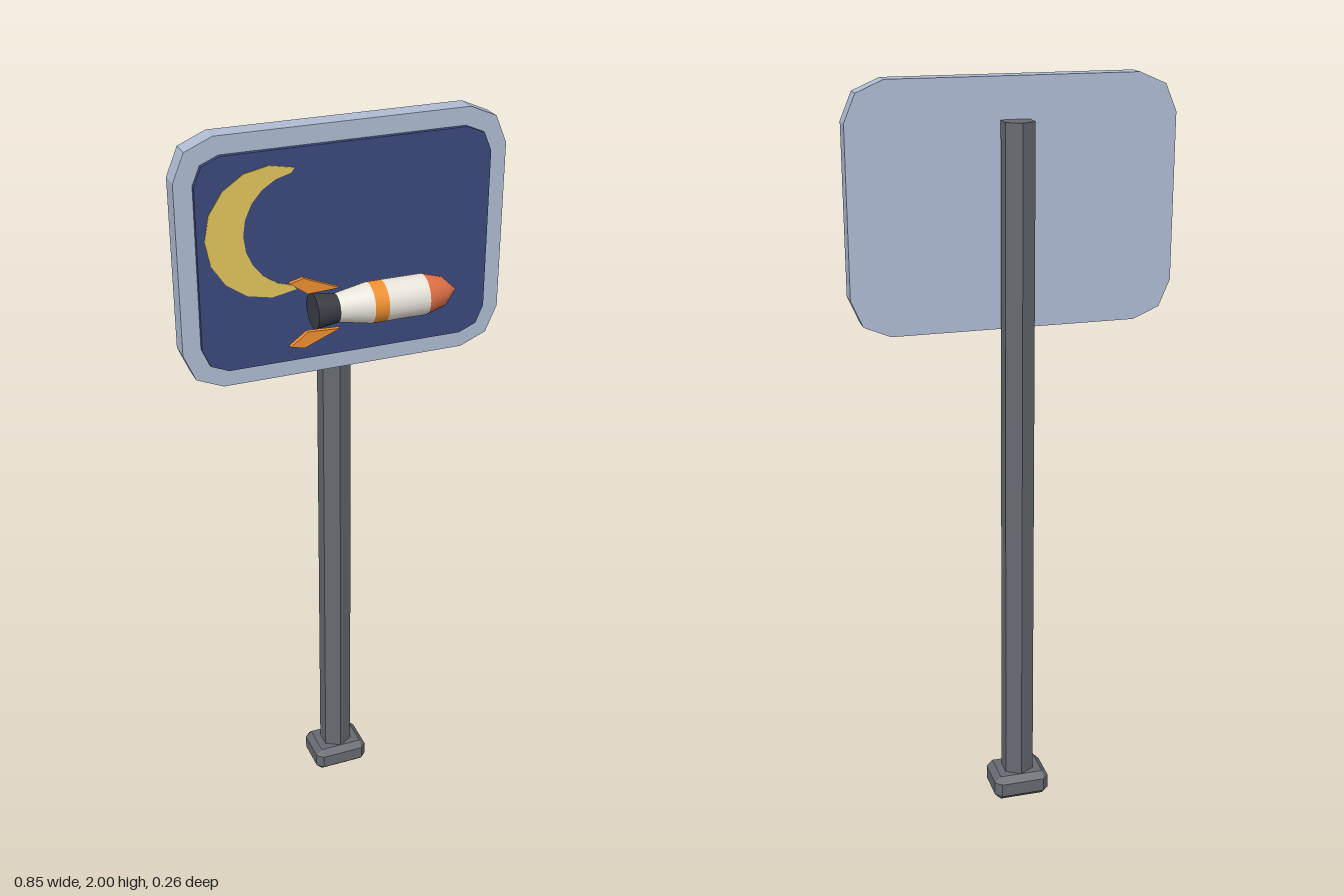
import * as THREE from 'three';
import { ConvexGeometry } from 'three/addons/geometries/ConvexGeometry.js';

const paint = (color, flatShading = true) => new THREE.MeshStandardMaterial({ color, flatShading });
const slate = paint(0x666a70);
const gold = paint(0xe3c75b);
const orange = paint(0xf09030);

function add(parent, name, geometry, material) {
  const mesh = new THREE.Mesh(geometry, material);
  mesh.name = name;
  parent.add(mesh);
  return mesh;
}

// Extrudes a shape from z0 to z1
function slab(shape, z0, z1) {
  const geometry = new THREE.ExtrudeGeometry(shape, { depth: z1 - z0, bevelEnabled: false });
  return geometry.translate(0, 0, z0);
}

const polygon = (points) => new THREE.Shape(points.map(([x, y]) => new THREE.Vector2(x, y)));

// Rectangle whose corners are cut by two facets each
function facetedPlate(w, h, r, cy) {
  const k = r * 0.3;
  const corner = [[w, h - r], [w - k, h - k], [w - r, h]];
  const flip = (sx, sy) => corner.map(([x, y]) => [x * sx, cy + y * sy]);
  return polygon([
    ...flip(1, 1), ...flip(-1, 1).reverse(), ...flip(-1, -1), ...flip(1, -1).reverse(),
  ]);
}

// Box with every edge and corner chamfered
function chamferedBox(w, h, d, c) {
  const points = [];
  for (const x of [-w, w]) for (const y of [-h, h]) for (const z of [-d, d]) {
    const cx = Math.sign(x) * c, cy = Math.sign(y) * c, cz = Math.sign(z) * c;
    points.push(
      new THREE.Vector3(x, y - cy, z - cz),
      new THREE.Vector3(x - cx, y, z - cz),
      new THREE.Vector3(x - cx, y - cy, z),
    );
  }
  return new ConvexGeometry(points);
}

// Crescent between a large arc and a shifted smaller arc
function crescent() {
  const points = [];
  const n = 10;
  for (let i = 0; i <= n; i++) {
    const a = THREE.MathUtils.degToRad(68 + (224 * i) / n);
    points.push([-0.195 + 0.165 * Math.cos(a), 1.755 + 0.165 * Math.sin(a)]);
  }
  for (let i = 0; i <= n; i++) {
    const a = THREE.MathUtils.degToRad(262 - (164 * i) / n);
    points.push([-0.122 + 0.143 * Math.cos(a), 1.755 + 0.143 * Math.sin(a)]);
  }
  return polygon(points);
}

// Rocket lying along +x, built from lathed bands
function createRocket() {
  const rocket = new THREE.Group();
  rocket.name = 'rocket';
  const white = paint(0xe8e4da, false);
  const bands = [
    ['nozzleEnd', [[0, -0.11], [0.045, -0.11]], paint(0x3a3d44, false)],
    ['nozzle', [[0.045, -0.11], [0.036, -0.05]], paint(0x3a3d44, false)],
    ['rearBody', [[0.036, -0.05], [0.052, 0.035]], white],
    ['bodyStripe', [[0.052, 0.035], [0.052, 0.072]], paint(0xf09030, false)],
    ['frontBody', [[0.052, 0.072], [0.052, 0.182]], white],
    ['noseCone', [[0.052, 0.182], [0.037, 0.235], [0, 0.272]], paint(0xe8754a, false)],
  ];
  for (const [name, profile, material] of bands) {
    const points = profile.map(([r, x]) => new THREE.Vector2(r, x));
    add(rocket, name, new THREE.LatheGeometry(points, 24).rotateZ(-Math.PI / 2), material);
  }
  // Swept fins above and below the tail
  for (const side of [1, -1]) {
    const fin = polygon([[-0.125, 0.05], [-0.042, 0.054], [-0.135, 0.092], [-0.171, 0.083]]
      .map(([x, y]) => [x, y * side]));
    add(rocket, side > 0 ? 'upperFin' : 'lowerFin', slab(fin, -0.006, 0.006), orange);
  }
  rocket.position.set(0, 1.56, 0.077);
  return rocket;
}

export function createModel() {
  const model = new THREE.Group();
  model.name = 'signpost';

  // Post and foot
  add(model, 'foot', chamferedBox(0.078, 0.036, 0.063, 0.017), slate).position.set(0, 0.036, -0.07);
  add(model, 'post', new THREE.CylinderGeometry(0.044, 0.046, 1.835, 6), slate)
    .position.set(0, 0.9775, -0.07);

  // Sign board
  add(model, 'signFrame', slab(facetedPlate(0.425, 0.3175, 0.1, 1.6825), -0.041, 0.013), paint(0xb0bcd4));
  add(model, 'signFace', slab(facetedPlate(0.379, 0.272, 0.066, 1.683), 0.012, 0.025), paint(0x3b4a7c));

  // Picture on the board
  add(model, 'moon', slab(crescent(), 0.024, 0.027), gold);
  model.add(createRocket());

  return model;
}
